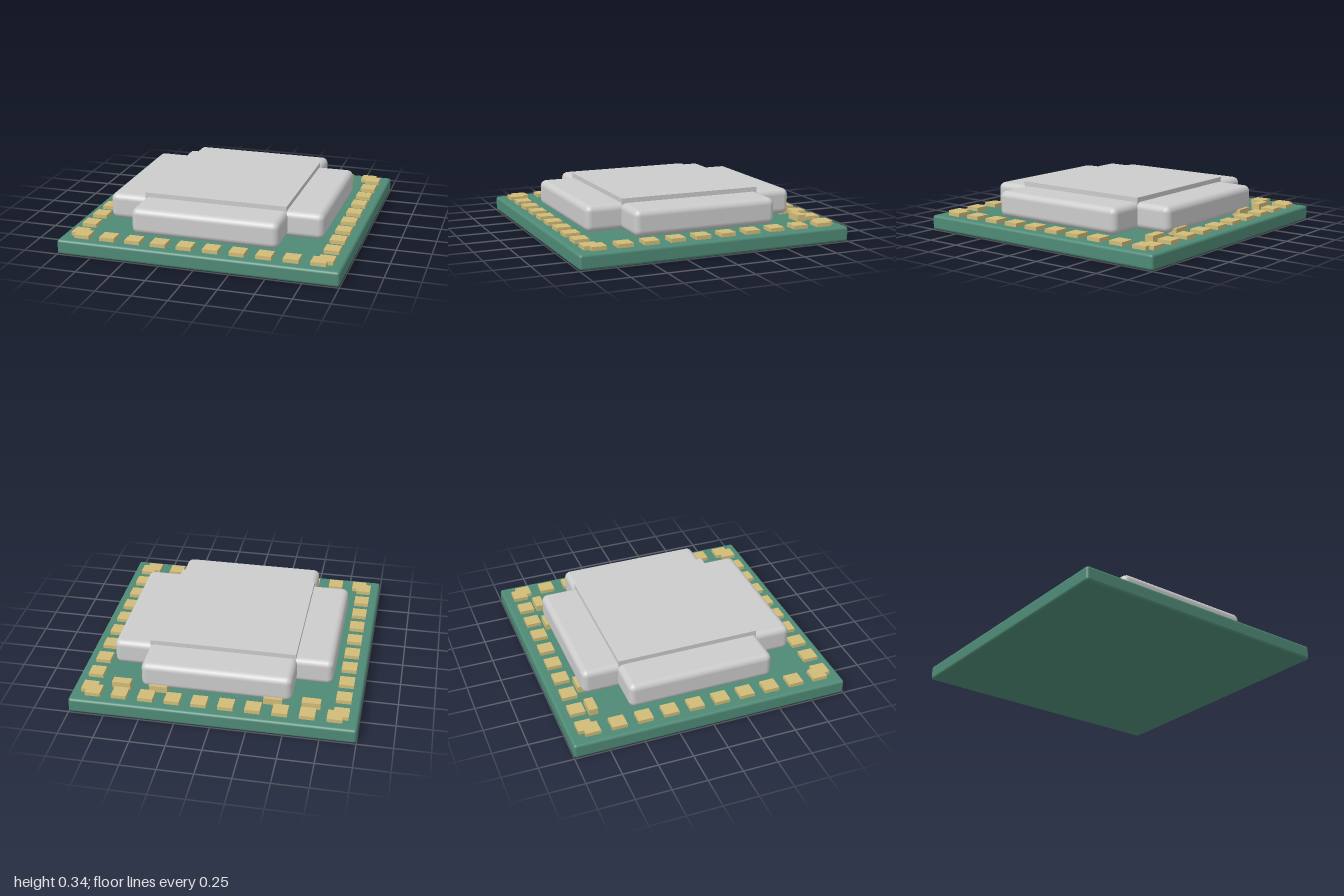
import * as THREE from 'three';
import { RoundedBoxGeometry } from 'three/addons/geometries/RoundedBoxGeometry.js';

const green = new THREE.MeshStandardMaterial({ color: 0x4f8a76 });
const gold = new THREE.MeshStandardMaterial({ color: 0xd0bb78 });
const grey = new THREE.MeshStandardMaterial({ color: 0xcccccc });

const BOARD_TOP = 0.107;

export function createModel() {
  const model = new THREE.Group();
  model.name = 'circuitModule';

  // Adds a box standing on y = bottom; a radius rounds its edges
  function addBox(name, material, [w, h, d], [x, bottom, z], radius = 0) {
    const geometry = radius
      ? new RoundedBoxGeometry(w, h, d, 4, radius)
      : new THREE.BoxGeometry(w, h, d);
    const mesh = new THREE.Mesh(geometry, material);
    mesh.name = name;
    mesh.position.set(x, bottom + h / 2, z);
    model.add(mesh);
  }

  // Circuit board
  addBox('board', green, [2, BOARD_TOP, 2], [0, 0, 0], 0.02);

  // Metal shield: two crossed rounded slabs and a raised square lid
  addBox('shieldAcross', grey, [1.57, 0.187, 1.06], [0, 0.122, 0], 0.045);
  addBox('shieldAlong', grey, [1.06, 0.187, 1.57], [0, 0.122, 0], 0.045);
  addBox('shieldLid', grey, [1.04, 0.06, 1.04], [0, 0.282, 0]);

  // Contact pads: ten per edge, the end ones overlapping at the corners
  const padSize = [0.107, 0.027, 0.107];
  for (let i = 0; i < 10; i++) {
    const along = (i - 4.5) * 0.187;
    for (const edge of [-0.88, 0.88]) {
      addBox('edgePad', gold, padSize, [along, BOARD_TOP, edge]);
      addBox('sidePad', gold, padSize, [edge, BOARD_TOP, along]);
    }
  }

  // Small chips along the back of the shield
  for (const x of [-0.667, -0.403, 0.403, 0.667]) {
    addBox('chip', gold, [0.13, 0.048, 0.064], [x, BOARD_TOP, -0.776]);
  }

  return model;
}
